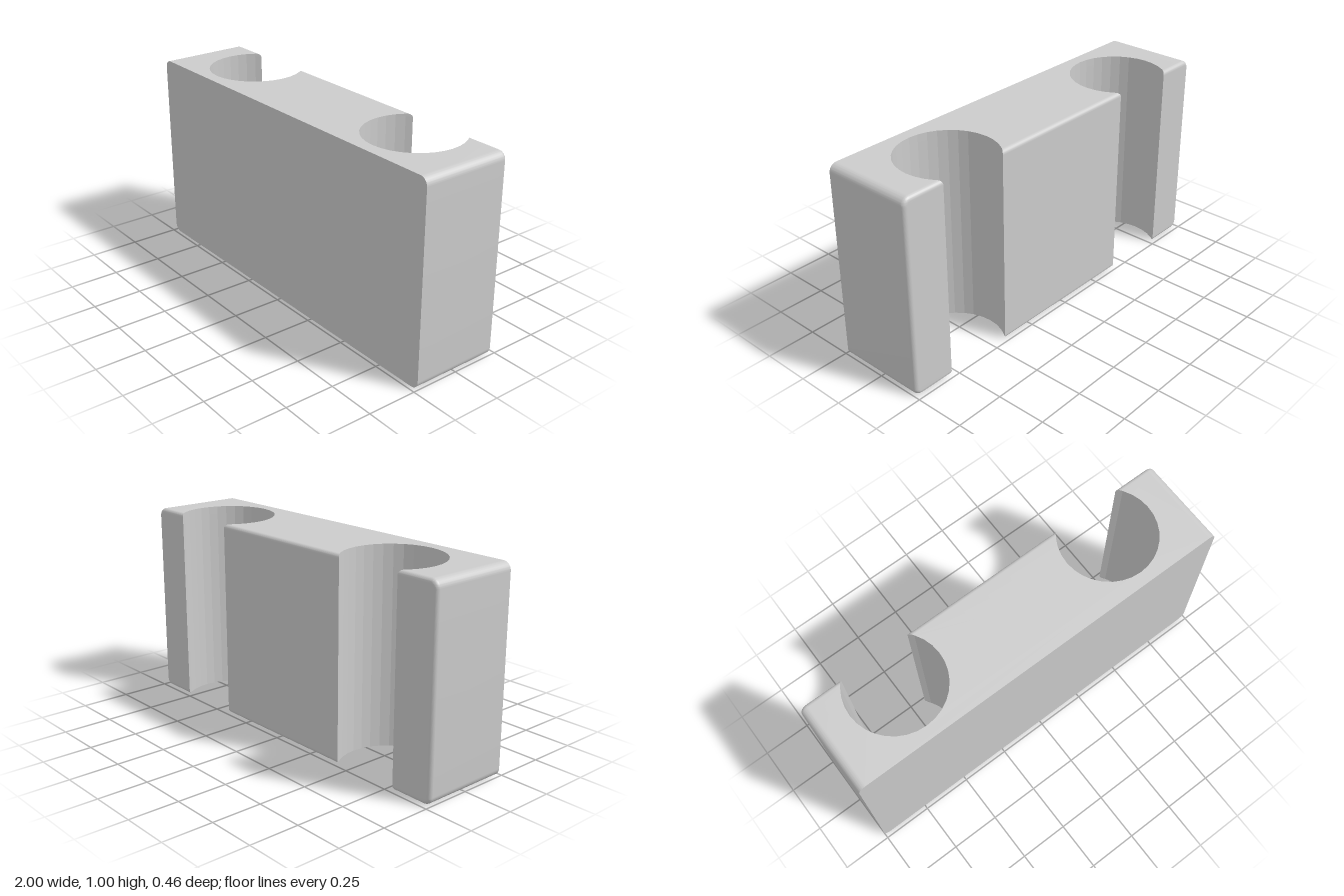
import * as THREE from 'three';
import { toCreasedNormals } from 'three/addons/utils/BufferGeometryUtils.js';

const W = 1, H = 1, D = 0.23;          // half width, height, half depth
const CORNER = 0.04;                   // rounding of the four long corners
const FILLET = 0.02;                   // rounding of the back rim
const BORE = { x: 0.6, z: -0.07, r: 0.24 };
const STEPS = 18;

// Half width at distance dy from the top or bottom, for an outline inset by s
function halfWidth(dy, s) {
  const rise = CORNER - dy;
  if (rise <= 0) return W - s;
  return W - CORNER + Math.sqrt(Math.max(0, (CORNER - s) ** 2 - rise ** 2));
}

// Horizontal cross-section of the block at height y, as [x, z] points
function section(y) {
  const dy = Math.max(0, Math.min(y, H - y));
  const phiMax = Math.acos(1 - Math.min(1, dy / FILLET));
  const zBack = -D + FILLET * (1 - Math.sin(phiMax));

  // side wall and rounded back edge
  const side = [[halfWidth(dy, 0), D]];
  for (let k = 0; k <= STEPS; k++) {
    const phi = phiMax * k / STEPS;
    side.push([halfWidth(dy, FILLET * (1 - Math.cos(phi))), -D + FILLET * (1 - Math.sin(phi))]);
  }

  // round channels, open towards the back
  const start = Math.acos((BORE.z - zBack) / BORE.r);
  const angles = [start];
  for (let k = 5; k <= 27; k++) angles.push(k * Math.PI / 16);
  angles.push(2 * Math.PI - start);
  const channel = cx => angles.map(a => [cx + BORE.r * Math.sin(a), BORE.z - BORE.r * Math.cos(a)]);

  const otherSide = side.map(([x, z]) => [-x, z]).reverse();
  return [...side, ...channel(BORE.x), ...channel(-BORE.x), ...otherSide];
}

function blockGeometry() {
  // heights, close together where the corners curve
  const low = [];
  for (let k = 0; k <= STEPS; k++) low.push(CORNER * (1 - Math.cos(k / STEPS * Math.PI / 2)));
  const heights = [...low, ...low.map(y => H - y).reverse()];
  const loops = heights.map(y => section(y).map(([x, z]) => new THREE.Vector3(x, y, z)));

  const positions = [];
  const tri = new THREE.Triangle();
  const add = (a, b, c) => {
    if (tri.set(a, b, c).getArea() < 1e-10) return;
    for (const p of [a, b, c]) positions.push(p.x, p.y, p.z);
  };

  // walls
  for (let j = 0; j < loops.length - 1; j++) {
    const lo = loops[j], hi = loops[j + 1], n = lo.length;
    for (let i = 0; i < n; i++) {
      const m = (i + 1) % n;
      add(lo[i], lo[m], hi[m]);
      add(lo[i], hi[m], hi[i]);
    }
  }

  // flat top and bottom
  const normal = new THREE.Vector3();
  for (const [loop, up] of [[loops[0], -1], [loops[loops.length - 1], 1]]) {
    const outline = loop.filter((p, i) => i === 0 || p.distanceTo(loop[i - 1]) > 1e-7);
    const flat = outline.map(p => new THREE.Vector2(p.x, -p.z));
    for (const [a, b, c] of THREE.ShapeUtils.triangulateShape(flat, [])) {
      const [A, B, C] = [outline[a], outline[b], outline[c]];
      tri.set(A, B, C).getNormal(normal);
      if (normal.y * up > 0) add(A, B, C);
      else add(A, C, B);
    }
  }

  const geometry = new THREE.BufferGeometry();
  geometry.setAttribute('position', new THREE.Float32BufferAttribute(positions, 3));
  return toCreasedNormals(geometry, 0.16);
}

export function createModel() {
  const group = new THREE.Group();
  group.name = 'channelBlock';
  const block = new THREE.Mesh(blockGeometry(), new THREE.MeshStandardMaterial({ color: 0xcccccc }));
  block.name = 'blockWithTwoChannels';
  group.add(block);
  return group;
}
